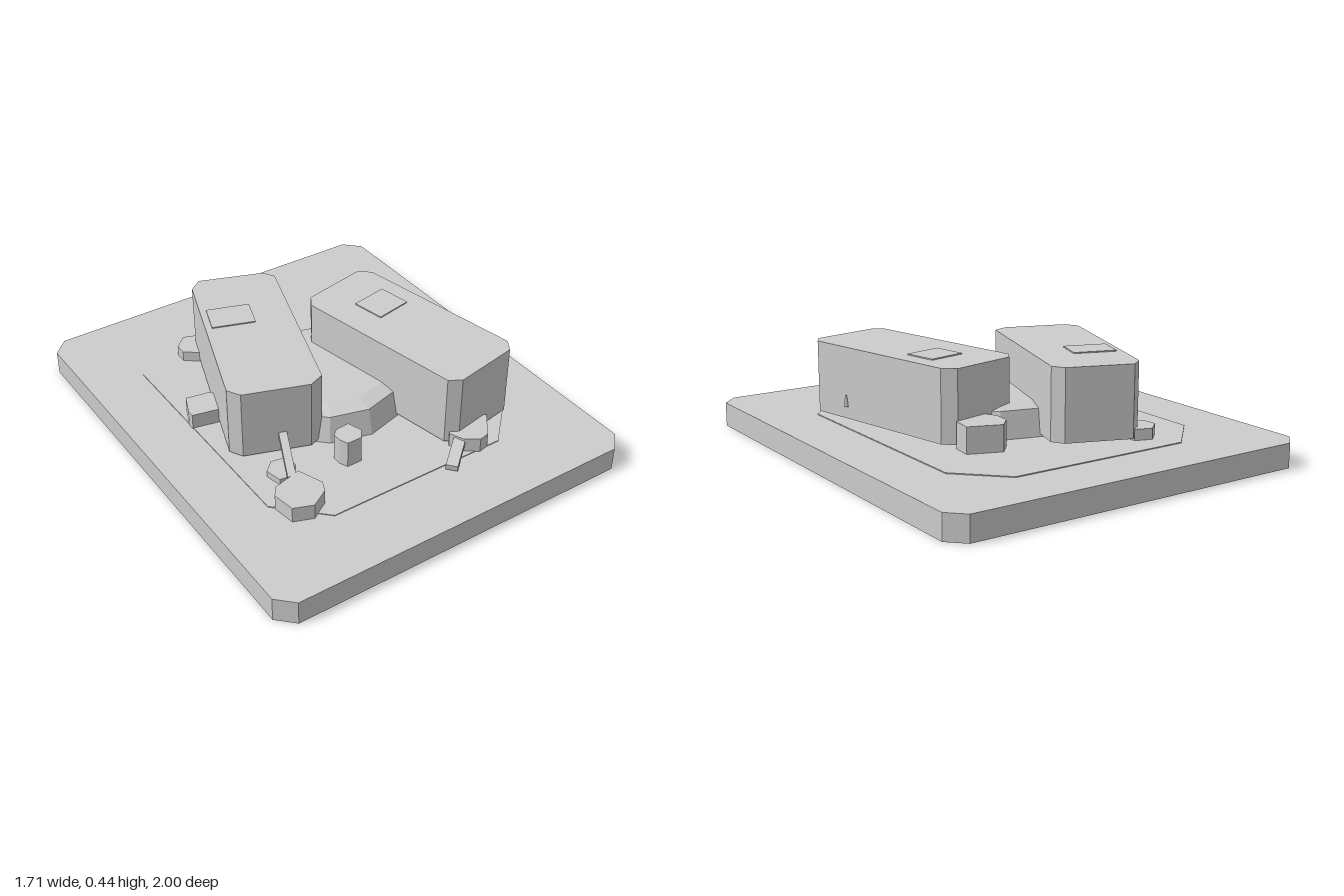
import * as THREE from 'three';

const stone = new THREE.MeshStandardMaterial({ color: 0xcccccc });
stone.name = 'stone';

export function createModel() {
  const model = new THREE.Group();
  const add = (name, geometry) => {
    const mesh = new THREE.Mesh(geometry, stone);
    mesh.name = name;
    model.add(mesh);
    return mesh;
  };

  // Upright prism from an outline of [x, z] corners
  const prism = (name, outline, y0, y1) => {
    const shape = new THREE.Shape(outline.map(([x, z]) => new THREE.Vector2(x, -z)));
    const g = new THREE.ExtrudeGeometry(shape, { depth: y1 - y0, bevelEnabled: false });
    g.rotateX(-Math.PI / 2).translate(0, y0, 0);
    return add(name, g);
  };

  // Rectangle with cut corners
  const cutRect = (x, z0, z1, cx, cz) => [
    [-x + cx, z0], [x - cx, z0], [x, z0 + cz], [x, z1 - cz],
    [x - cx, z1], [-x + cx, z1], [-x, z1 - cz], [-x, z0 + cz],
  ];

  // Square bar between two points
  const bar = (name, from, to, width, height) => {
    const a = new THREE.Vector3(...from), b = new THREE.Vector3(...to);
    const mesh = add(name, new THREE.BoxGeometry(width, height, a.distanceTo(b)));
    mesh.position.copy(a).lerp(b, 0.5);
    mesh.lookAt(b);
  };

  // Base slab and the thin paved area
  const G = 0.108;
  prism('base', cutRect(0.855, -1, 1, 0.07, 0.07), 0, G);
  prism('pavement', cutRect(0.605, -0.75, 0.69, 0.19, 0.19), G, G + 0.004);

  // Two large blocks with cut corners
  prism('rightBlock', [
    [-0.254, -0.637], [0.021, -0.536], [0.053, -0.483], [-0.19, 0.265],
    [-0.26, 0.292], [-0.534, 0.196], [-0.566, 0.138], [-0.312, -0.594],
  ], 0.125, 0.44);
  prism('leftBlock', [
    [0.386, -0.308], [0.439, -0.265], [0.593, 0.499], [0.561, 0.552],
    [0.265, 0.61], [0.212, 0.578], [0.058, -0.19], [0.09, -0.244],
  ], 0.125, 0.44);

  // Thin roof panels
  for (const [x, z, w, d, turn] of [[-0.28, -0.31, 0.19, 0.14, -0.33], [0.32, -0.03, 0.17, 0.15, 0.2]]) {
    const panel = add('roofPanel', new THREE.BoxGeometry(w, 0.005, d));
    panel.position.set(x, 0.4425, z);
    panel.rotation.y = turn;
  }

  // Twelve-sided central platform with a bevelled rim
  const platform = new THREE.LatheGeometry([
    new THREE.Vector2(0, G), new THREE.Vector2(0.362, G), new THREE.Vector2(0.335, 0.228),
    new THREE.Vector2(0.265, 0.245), new THREE.Vector2(0, 0.245),
  ], 12).toNonIndexed();
  platform.computeVertexNormals();
  add('platform', platform);

  // Small stones
  const stones = [
    [0.16, [[-0.402, -0.6], [-0.344, -0.652], [-0.27, -0.625], [-0.27, -0.54], [-0.34, -0.5], [-0.402, -0.55]]],
    [0.18, [[-0.608, -0.127], [-0.571, -0.217], [-0.46, -0.196], [-0.44, -0.12], [-0.49, -0.07], [-0.608, -0.095]]],
    [0.225, [[0.206, -0.32], [0.212, -0.398], [0.265, -0.456], [0.407, -0.403], [0.397, -0.313], [0.344, -0.26], [0.24, -0.265]]],
    [0.235, [[-0.222, 0.4], [-0.196, 0.377], [-0.132, 0.371], [-0.111, 0.435], [-0.138, 0.477], [-0.206, 0.477], [-0.222, 0.44]]],
    [0.14, [[-0.513, 0.345], [-0.466, 0.302], [-0.413, 0.313], [-0.392, 0.371], [-0.439, 0.424], [-0.497, 0.419]]],
    [0.178, [[-0.587, 0.525], [-0.556, 0.483], [-0.429, 0.451], [-0.386, 0.562], [-0.407, 0.61], [-0.487, 0.658], [-0.571, 0.626]]],
    [0.175, [[0.222, 0.6], [0.249, 0.663], [0.307, 0.7], [0.354, 0.69], [0.43, 0.588], [0.39, 0.53], [0.27, 0.53]]],
  ];
  for (const [top, outline] of stones) prism('smallStone', outline, G, top);

  // Sloping bars resting on the front stones
  bar('raisedBar', [-0.465, 0.16, 0.46], [-0.37, 0.207, 0.24], 0.035, 0.028);
  bar('loweredBar', [0.25, 0.153, 0.635], [0.13, 0.127, 0.735], 0.05, 0.028);

  // Tiny peg on the side of the left block
  const peg = add('sidePeg', new THREE.CylinderGeometry(0.005, 0.014, 0.05, 4));
  peg.position.set(0.557, 0.203, 0.315);

  return model;
}
